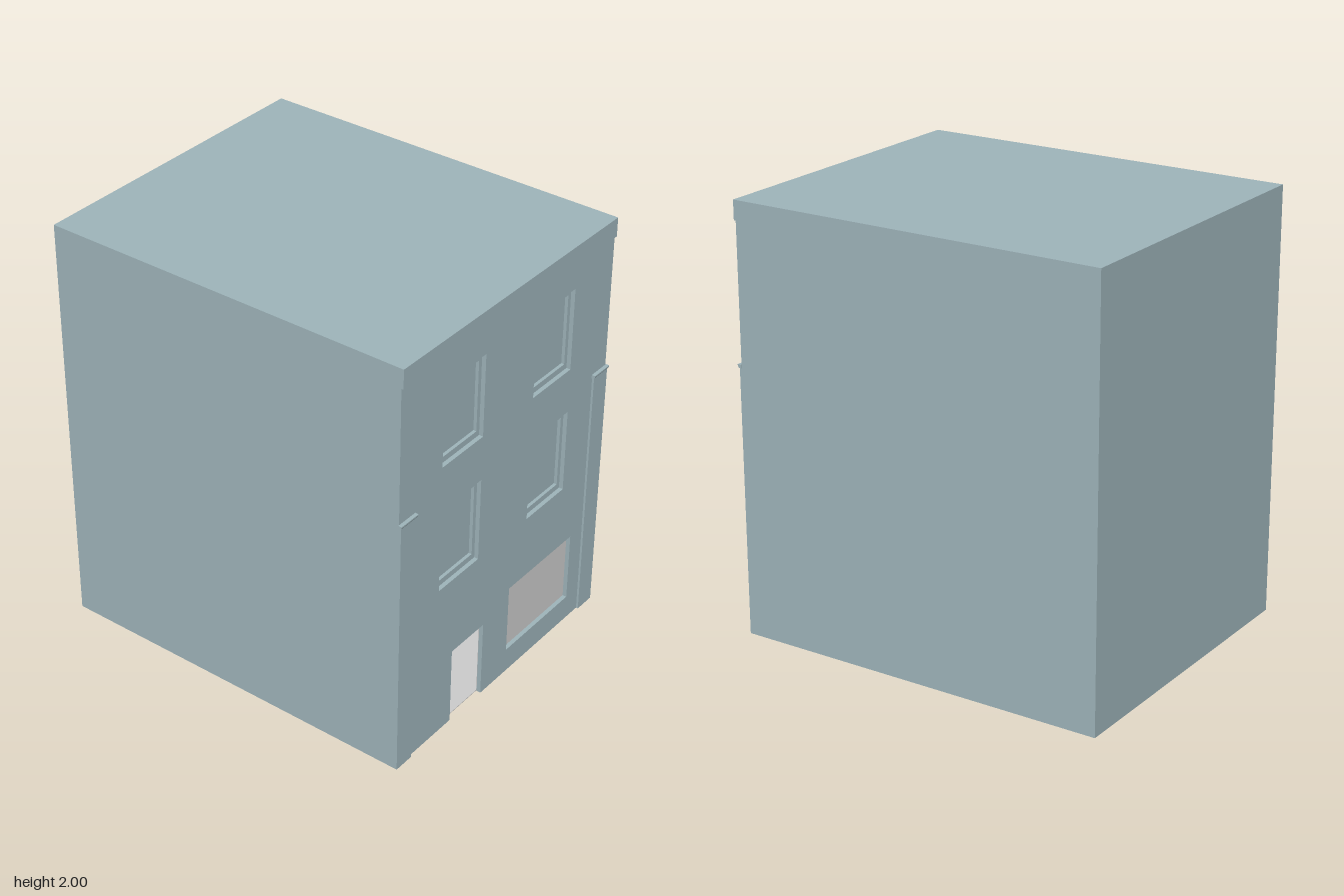
import * as THREE from 'three';

const paint = new THREE.MeshStandardMaterial({ color: 0x9eb4ba, side: THREE.DoubleSide });
const grey = new THREE.MeshStandardMaterial({ color: 0xcccccc, side: THREE.DoubleSide });

const LEFT = -0.745, RIGHT = 0.745, BACK = -0.905, FRONT = 0.89, TOP = 2;
const DOOR = [-0.35, 0, -0.12, 0.38];

function rectPath(Type, x0, y0, x1, y1) {
  const p = new Type();
  p.moveTo(x0, y0).lineTo(x1, y0).lineTo(x1, y1).lineTo(x0, y1).closePath();
  return p;
}

// Wall outline from x0 to x1 with the doorway notched out of its foot
function wallWithDoor(x0, y0, x1, y1) {
  const s = new THREE.Shape();
  s.moveTo(x0, y0).lineTo(DOOR[0], y0).lineTo(DOOR[0], DOOR[3]).lineTo(DOOR[2], DOOR[3]);
  s.lineTo(DOOR[2], y0).lineTo(x1, y0).lineTo(x1, y1).lineTo(x0, y1).closePath();
  return s;
}

function extrude(shape, depth) {
  return new THREE.ExtrudeGeometry(shape, { depth, bevelEnabled: false });
}

export function createModel() {
  const model = new THREE.Group();
  model.name = 'townhouse';

  function add(name, geometry, material = paint, parent = model) {
    const mesh = new THREE.Mesh(geometry, material);
    mesh.name = name;
    parent.add(mesh);
    return mesh;
  }
  function box(name, x0, y0, z0, x1, y1, z1, material = paint, parent = model) {
    const mesh = add(name, new THREE.BoxGeometry(x1 - x0, y1 - y0, z1 - z0), material, parent);
    mesh.position.set((x0 + x1) / 2, (y0 + y1) / 2, (z0 + z1) / 2);
    return mesh;
  }

  // Thin shell, open underneath
  const t = 0.005;
  box('rightWall', LEFT, 0, BACK, LEFT + t, TOP, FRONT);
  box('leftWall', RIGHT - t, 0, BACK, RIGHT, TOP, FRONT);
  box('backWall', LEFT + t, 0, BACK, RIGHT - t, TOP, BACK + t);
  box('roof', LEFT + t, TOP - t, BACK + t, RIGHT - t, TOP, FRONT);

  // Front wall with window openings and doorway
  const depth = 0.02;
  const facade = wallWithDoor(LEFT + t, 0, RIGHT - t, TOP - t);
  const windows = [];
  for (const x of [-0.32, 0.32]) {
    for (const [y0, y1] of [[0.77, 1.175], [1.39, 1.785]]) windows.push([x - 0.14, y0, x + 0.14, y1]);
  }
  for (const w of windows) facade.holes.push(rectPath(THREE.Path, ...w));
  facade.holes.push(rectPath(THREE.Path, 0.07, 0.12, 0.55, 0.46));
  add('frontWall', extrude(facade, depth)).position.z = FRONT - depth;

  // Stepped frames and panes set into the upper openings
  for (const [x0, y0, x1, y1] of windows) {
    const window = new THREE.Group();
    window.name = 'upperWindow';
    const frame = rectPath(THREE.Shape, x0, y0, x1, y1);
    frame.holes.push(rectPath(THREE.Path, x0 + 0.02, y0 + 0.028, x1 - 0.02, y1 - 0.028));
    add('windowFrame', extrude(frame, 0.015), paint, window).position.z = FRONT - depth - 0.015;
    box('windowPane', x0, y0, FRONT - 0.04, x1, y1, FRONT - 0.035, paint, window);
    model.add(window);
  }

  // Cornice along the top
  box('cornice', LEFT, 1.91, FRONT, RIGHT, TOP, 0.9);

  // Corner pilasters with flared caps
  for (const side of [-1, 1]) {
    const pilaster = new THREE.Group();
    pilaster.name = side < 0 ? 'rightPilaster' : 'leftPilaster';
    const outer = side * 0.745, inner = side * 0.642;
    box('shaft', Math.min(outer, inner), 0, FRONT, Math.max(outer, inner), 1.255, 0.9, paint, pilaster);
    const profile = new THREE.Shape();
    profile.moveTo(FRONT, 1.255).lineTo(0.9, 1.255).lineTo(0.907, 1.266);
    profile.lineTo(0.907, 1.272).lineTo(FRONT, 1.272).closePath();
    const cap = add('cap', extrude(profile, 0.112), paint, pilaster);
    cap.rotation.y = -Math.PI / 2;
    cap.position.x = side < 0 ? -0.638 : 0.75;
    model.add(pilaster);
  }

  // Grey ground-floor room; its front wall closes the shop window
  const room = new THREE.Group();
  room.name = 'groundFloorRoom';
  const x0 = LEFT + 0.025, x1 = RIGHT - 0.025, z0 = BACK + 0.03, z1 = FRONT - 0.022, h = 0.72;
  box('floor', x0, 0.001, z0, x1, 0.005, z1, grey, room);
  box('ceiling', x0, h - t, z0, x1, h, z1, grey, room);
  box('roomRightWall', x0, 0.005, z0, x0 + t, h - t, z1, grey, room);
  box('roomLeftWall', x1 - t, 0.005, z0, x1, h - t, z1, grey, room);
  box('roomBackWall', x0 + t, 0.005, z0, x1 - t, h - t, z0 + t, grey, room);
  add('shopPaneWall', new THREE.ShapeGeometry(wallWithDoor(x0, 0.005, x1, h)), grey, room).position.z = z1;
  model.add(room);

  return model;
}
